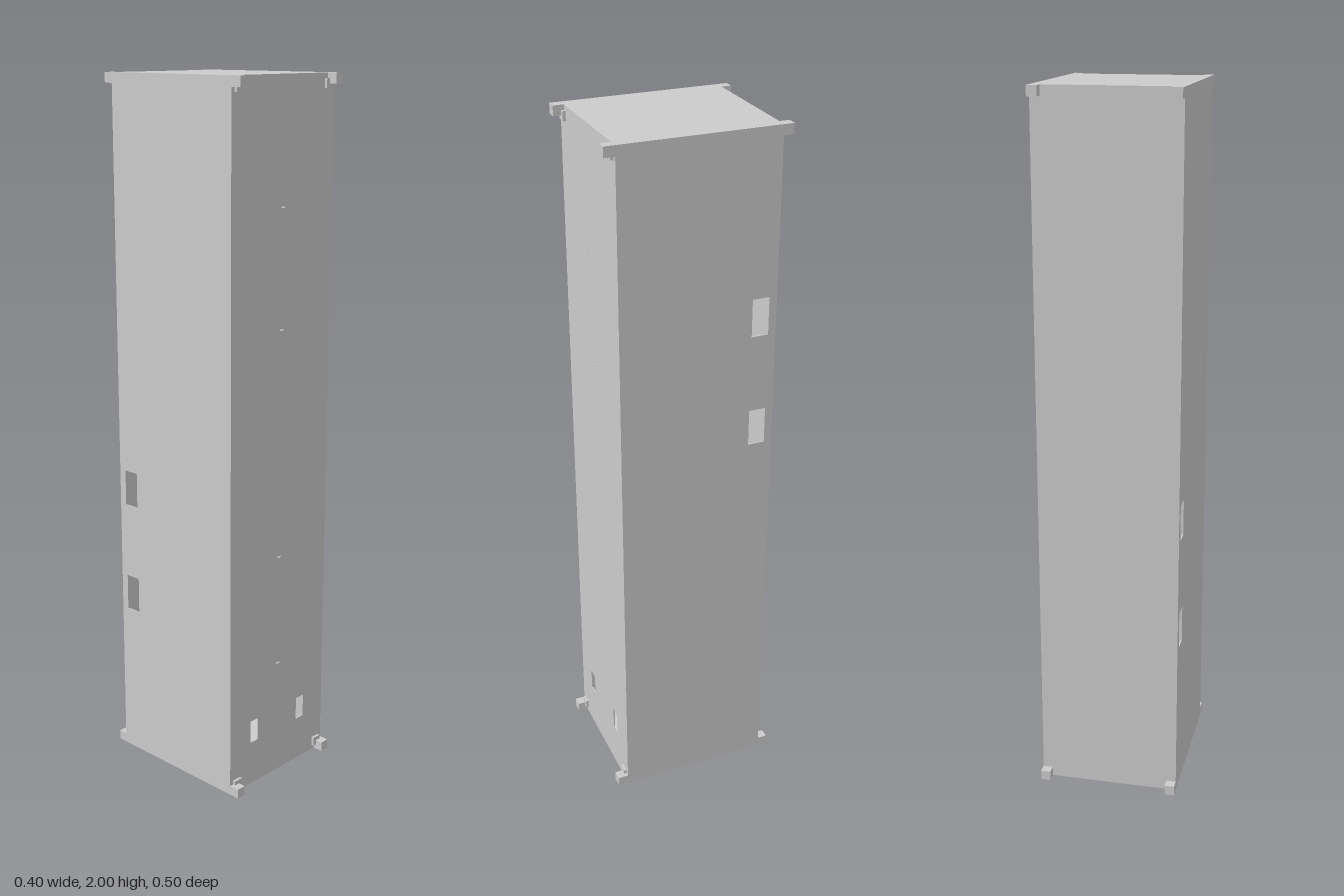
import * as THREE from 'three';

const W = 0.4, H = 2, T = 0.004;
const FRONT = 0.22, BACK = -0.222;

export function createModel() {
  const group = new THREE.Group();
  const material = new THREE.MeshStandardMaterial({ color: 0xcccccc, flatShading: true });

  function add(name, geometry, x = 0, y = 0, z = 0) {
    const mesh = new THREE.Mesh(geometry, material);
    mesh.name = name;
    mesh.position.set(x, y, z);
    group.add(mesh);
    return mesh;
  }

  // Sheet in the XY plane with rectangular cut-outs given as [x0, y0, x1, y1]
  function sheet(x0, x1, holes = []) {
    const rect = (Type, a, b, c, d) => {
      const p = new Type();
      p.moveTo(a, b);
      p.lineTo(c, b);
      p.lineTo(c, d);
      p.lineTo(a, d);
      p.closePath();
      return p;
    };
    const shape = rect(THREE.Shape, x0, T, x1, H - T);
    for (const h of holes) shape.holes.push(rect(THREE.Path, ...h));
    return new THREE.ExtrudeGeometry(shape, { depth: T, bevelEnabled: false });
  }

  // Front panel with two vertical slots and a row of tiny slits
  const frontHoles = [-0.1, 0.1].map((x) => [x - 0.016, 0.132, x + 0.016, 0.2]);
  for (const y of [0.346, 0.675, 1.331, 1.66]) frontHoles.push([-0.007, y - 0.002, 0.007, y + 0.002]);
  add('frontPanel', sheet(-W / 2 + T, W / 2 - T, frontHoles), 0, 0, FRONT - T);
  add('backPanel', sheet(-W / 2, W / 2), 0, 0, BACK);

  // Side panels: the cut-outs are upside-down copies of each other
  const sideHoles = [[0.152, 1.44, 0.2, 1.547], [0.152, 1.115, 0.2, 1.22]];
  const left = add('leftPanel', sheet(-FRONT, -BACK - T, sideHoles), W / 2 - T);
  left.rotation.y = Math.PI / 2;
  const flipped = sideHoles.map(([a, b, c, d]) => [a, H - d, c, H - b]);
  const right = add('rightPanel', sheet(-FRONT, -BACK - T, flipped), -W / 2);
  right.rotation.y = Math.PI / 2;

  // Top and bottom plates
  const plate = new THREE.BoxGeometry(W, T, FRONT - BACK);
  add('topPlate', plate, 0, H - T / 2, (FRONT + BACK) / 2);
  add('bottomPlate', plate, 0, T / 2, (FRONT + BACK) / 2);

  // Corner lugs, with small retaining plates behind the front ones
  const lugW = 0.028, lugH = 0.028;
  for (const sx of [-1, 1]) {
    for (const top of [false, true]) {
      const at = (y) => (top ? H - y : y);
      const x = sx * (W / 2 - lugW / 2);
      for (const [name, z] of [['frontLug', FRONT], ['backLug', BACK]]) {
        const depth = 0.25 - Math.abs(z);
        add(name, new THREE.BoxGeometry(lugW, lugH, depth), x, at(lugH / 2), Math.sign(z) * (0.25 - depth / 2));
      }
      add('lugPlate', new THREE.BoxGeometry(0.028, 0.026, 0.008), sx * 0.174, at(0.027), FRONT + 0.004);
    }
  }
  return group;
}
